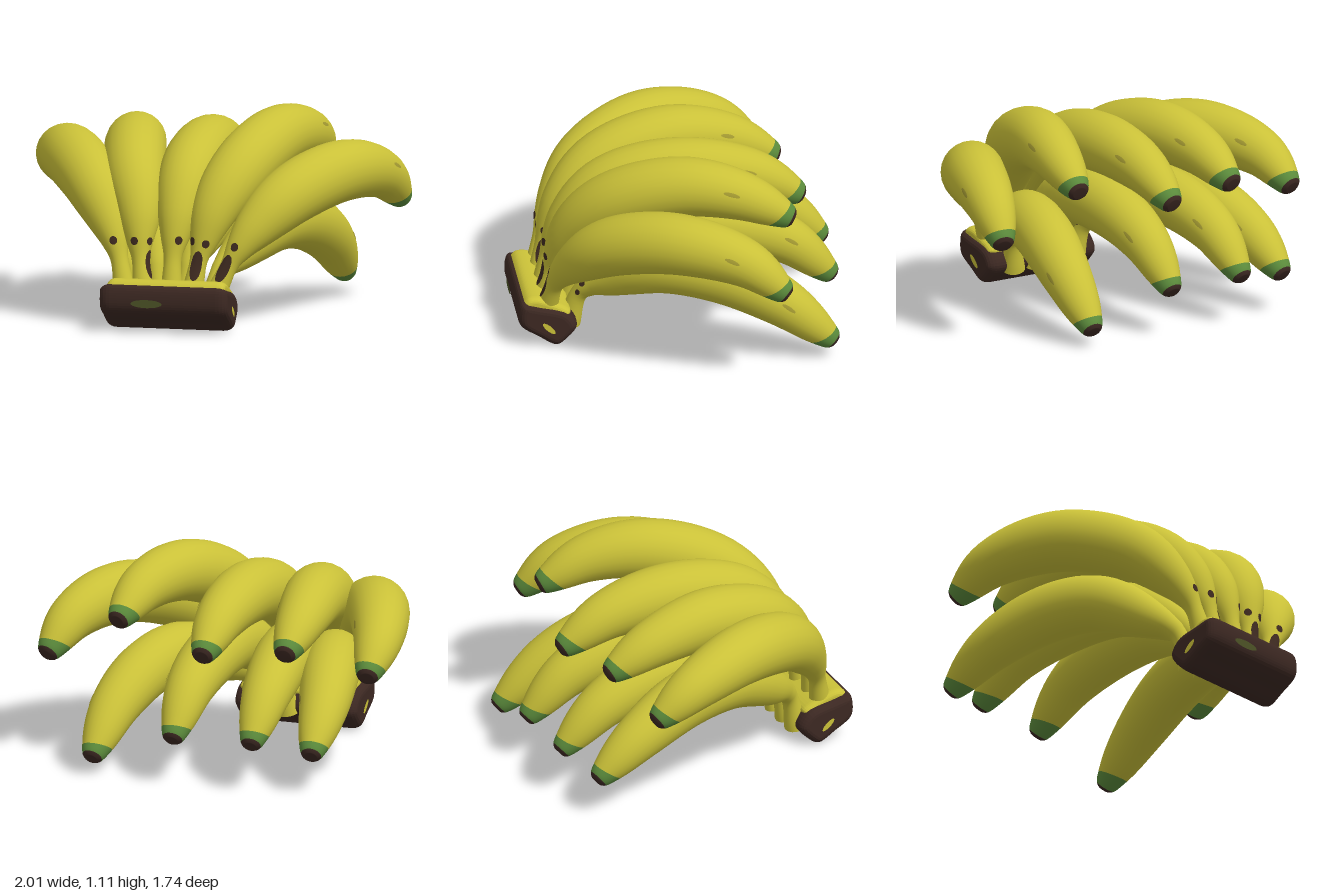
import * as THREE from 'three';

const mat = (name, color, side = THREE.FrontSide) => {
  const m = new THREE.MeshStandardMaterial({ color, side });
  m.name = name;
  return m;
};

// Radius along the fruit: narrow stem, full belly, blunt tip (fraction of length, radius)
const PROFILE = new THREE.SplineCurve([
  [0, .064], [.06, .051], [.115, .048], [.17, .075], [.24, .112], [.33, .145], [.43, .162], [.54, .167],
  [.65, .162], [.75, .149], [.84, .129], [.91, .106], [.965, .077], [.99, .058], [1, .036],
].map(([t, r]) => new THREE.Vector2(t, r)));

// Spine points from stem to tip; upper hand then lower hand
const UPPER = [
  [[-.30, .18, .71], [-.35, .40, .66], [-.42, .56, .57], [-.54, .72, .41], [-.735, .815, .08], [-.875, .75, -.28], [-.91, .60, -.53]],
  [[-.20, .18, .71], [-.23, .42, .66], [-.26, .62, .55], [-.33, .79, .35], [-.405, .88, 0], [-.455, .83, -.33], [-.47, .70, -.61]],
  [[-.05, .18, .71], [-.05, .42, .66], [-.04, .62, .55], [-.035, .79, .35], [-.025, .87, 0], [-.025, .82, -.40], [-.03, .67, -.69]],
  [[.06, .18, .71], [.10, .42, .66], [.16, .65, .55], [.26, .84, .34], [.37, .95, 0], [.455, .92, -.30], [.50, .79, -.575]],
  [[.18, .18, .71], [.28, .40, .66], [.38, .55, .56], [.53, .70, .38], [.73, .785, .06], [.865, .72, -.27], [.935, .55, -.495]],
];
const LOWER = [
  [[-.27, .08, .58], [-.30, .28, .52], [-.38, .40, .37], [-.48, .53, .10], [-.57, .52, -.20], [-.65, .40, -.50], [-.685, .205, -.77]],
  [[-.15, .08, .58], [-.17, .30, .52], [-.20, .44, .37], [-.27, .58, .08], [-.315, .58, -.25], [-.355, .47, -.58], [-.37, .25, -.845]],
  [[-.02, .08, .58], [0, .30, .52], [.03, .44, .37], [.065, .58, .08], [.075, .58, -.25], [.08, .47, -.58], [.08, .24, -.84]],
  [[.12, .08, .58], [.16, .27, .52], [.24, .38, .36], [.37, .495, .10], [.46, .465, -.20], [.53, .325, -.50], [.56, .085, -.79]],
];

// Neck spots and stem streaks of each upper fruit, as angles around the skin
const SPOTS = [[2], [2, .7], [1], [2, .8], [1.1]];
const STREAKS = [[], [.4], [], [1.2], [1.2]];

// Returns surface(u, angle, lift): angle 0 is the side, PI/2 the outer curve
function fruitSurface(points, scale) {
  const curve = new THREE.CatmullRomCurve3(points.map(p => new THREE.Vector3(...p)));
  const heading = new THREE.Vector3().subVectors(curve.getPoint(1), curve.getPoint(0)).setY(0).normalize();
  const across = heading.clone().cross(new THREE.Vector3(0, 1, 0));
  return (u, a, lift = 0, shrink = 1) => {
    // Rings lean near the tip, so the green end reaches further along the underside
    const lean = .024 * Math.sin(a) * Math.max(0, 1 - Math.abs(u - .84) / .1);
    const { x, y } = PROFILE.getPoint(u + lean);
    const t = THREE.MathUtils.clamp(x, 0, 1);
    const tangent = curve.getTangentAt(t);
    const n = across.clone().cross(tangent).normalize();
    const s = tangent.clone().cross(n);
    const r = (y * (t > .15 ? scale : 1) + lift) * shrink;
    return curve.getPointAt(t).addScaledVector(s, r * Math.cos(a)).addScaledVector(n, r * Math.sin(a));
  };
}

// Closed tube with colour groups for the skin, green end and dark tip
function fruitGeometry(surface) {
  const rows = 56, sides = 24, pos = [], idx = [];
  for (let i = 0; i <= rows + 1; i++)
    for (let j = 0; j < sides; j++)
      pos.push(...surface(Math.min(i / rows, 1), j / sides * Math.PI * 2, 0, i > rows ? .01 : 1));
  for (let i = 0; i <= rows; i++)
    for (let j = 0; j < sides; j++) {
      const a = i * sides + j, b = i * sides + (j + 1) % sides;
      idx.push(a, a + sides, b, b, a + sides, b + sides);
    }
  const g = new THREE.BufferGeometry();
  g.setAttribute('position', new THREE.Float32BufferAttribute(pos, 3));
  g.setIndex(idx);
  g.computeVertexNormals();
  const ring = sides * 6;
  [[0, 47], [47, 52], [52, rows + 1]].forEach(([a, b], k) => g.addGroup(a * ring, (b - a) * ring, k));
  return g;
}

// Small oval blotch lying just above the skin
function blotchGeometry(surface, u, a, du, da) {
  const n = 14, pos = [...surface(u, a, .004)], idx = [];
  for (let k = 0; k < n; k++) {
    const q = k / n * Math.PI * 2;
    pos.push(...surface(u + du * Math.cos(q), a + da * Math.sin(q), .003));
    idx.push(0, 1 + k, 1 + (k + 1) % n);
  }
  const g = new THREE.BufferGeometry();
  g.setAttribute('position', new THREE.Float32BufferAttribute(pos, 3));
  g.setIndex(idx);
  g.computeVertexNormals();
  return g;
}

// Rounded bar along x from a [z, y] cross-section
function barGeometry(section, x0, x1, bevel) {
  const loop = new THREE.CatmullRomCurve3(section.map(([z, y]) => new THREE.Vector3(-z, y, 0)), true);
  const shape = new THREE.Shape(loop.getPoints(48).slice(0, -1).map(p => new THREE.Vector2(p.x, p.y)));
  return new THREE.ExtrudeGeometry(shape, {
    depth: x1 - x0 - 2 * bevel, bevelThickness: bevel, bevelSize: bevel * .7, bevelOffset: -bevel * .7, bevelSegments: 5,
  }).translate(0, 0, x0 + bevel).rotateY(Math.PI / 2);
}

export function createModel() {
  const model = new THREE.Group();
  model.name = 'bananaBunch';
  const yellow = mat('yellow skin', 0xcac138);
  const green = mat('green end', 0x5c8c3c);
  const brown = mat('dark brown', 0x3c2822);
  const spot = mat('brown spot', 0x3e2a20, THREE.DoubleSide);
  const bruise = mat('olive bruise', 0xa59b32, THREE.DoubleSide);
  const moss = mat('moss patch', 0x4c5226, THREE.DoubleSide);
  const add = (parent, name, geometry, material) => {
    const mesh = new THREE.Mesh(geometry, material);
    mesh.name = name;
    parent.add(mesh);
    return mesh;
  };

  // Fruit
  const addFruit = (points, i, name, scale) => {
    const fruit = new THREE.Group();
    fruit.name = name + (i + 1);
    const surface = fruitSurface(points, scale);
    add(fruit, 'skin', fruitGeometry(surface), [yellow, green, brown]);
    add(fruit, 'bruise', blotchGeometry(surface, .685, .4, .018, .08), bruise);
    model.add(fruit);
    return (part, u, a, du, da) => add(fruit, part, blotchGeometry(surface, u, a, du, da), spot);
  };
  UPPER.forEach((p, i) => {
    const mark = addFruit(p, i, 'upperBanana', 1);
    SPOTS[i].forEach(a => mark('neckSpot', .2, a, .014, .3));
    STREAKS[i].forEach(a => mark('stemStreak', .115, a, .055, .65));
  });
  LOWER.forEach((p, i) => {
    const mark = addFruit(p, i, 'lowerBanana', .94);
    mark('neckSpot', .19, .7, .014, .28);
    mark('stemSpot', .15, .3, .012, .28);
  });

  // Crown: cut woody block with a narrow yellow top
  const crown = new THREE.Group();
  crown.name = 'crown';
  add(crown, 'crownBlock', barGeometry(
    [[.66, .002], [.76, .055], [.852, .12], [.866, .19], [.845, .255], [.74, .24], [.60, .195], [.55, .11], [.60, .04]],
    -.412, .285, .06), brown);
  add(crown, 'crownTop', barGeometry(
    [[.838, .24], [.815, .275], [.765, .282], [.68, .252], [.585, .195], [.60, .16], [.72, .18]],
    -.375, .265, .04), yellow);
  const oval = (name, material, w, h) => {
    const mesh = add(crown, name, new THREE.CircleGeometry(1, 20), material);
    mesh.scale.set(w, h, 1);
    return mesh;
  };
  oval('frontPatch', moss, .085, .022).position.set(-.15, .165, .87);
  for (const s of [-1, 1]) {
    const patch = oval('sidePatch', yellow, .045, .015);
    patch.position.set(-.0635 + s * .3505, .115, .705);
    patch.rotation.set(0, s * Math.PI / 2, -s * .75);
  }
  model.add(crown);
  return model;
}
